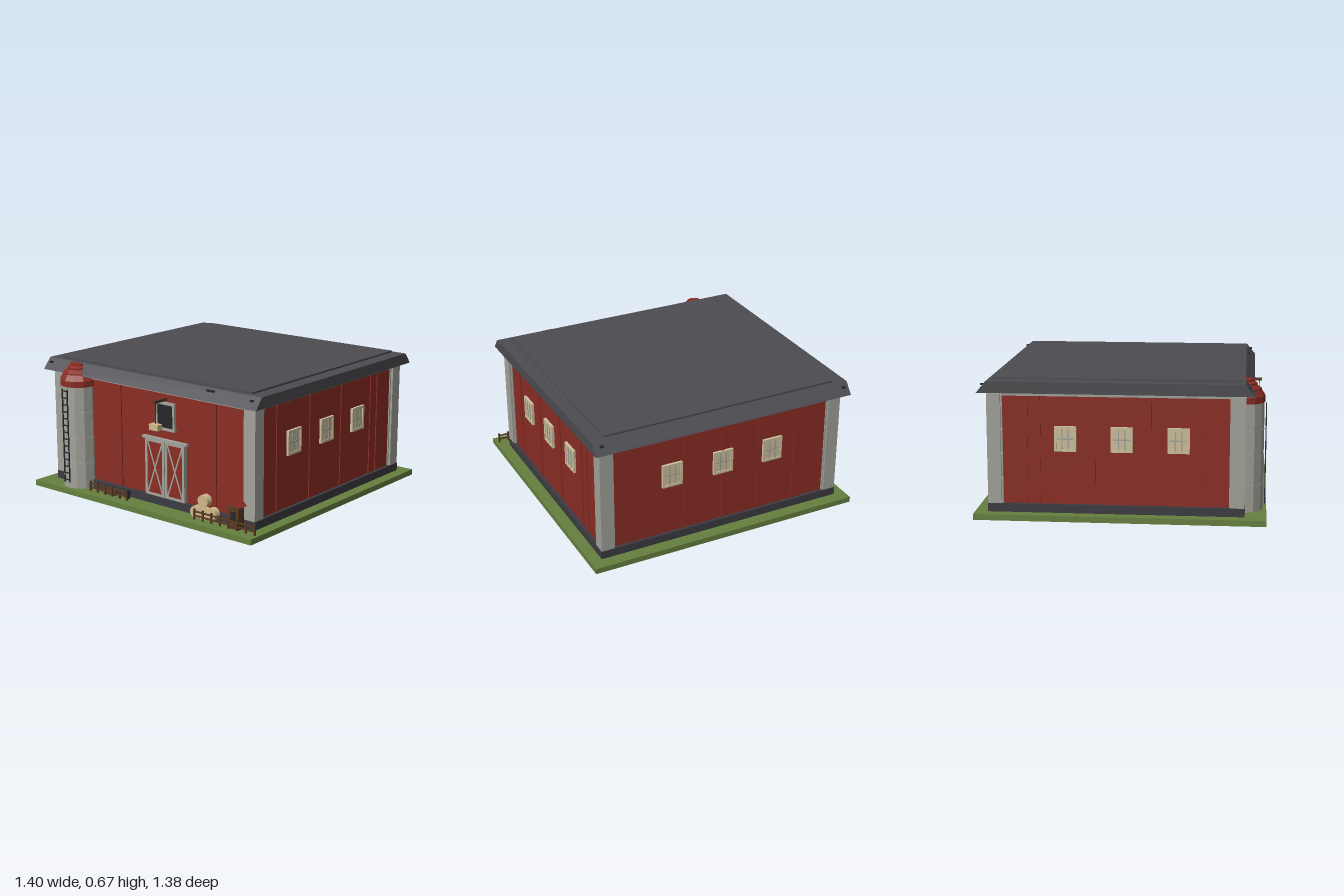
import * as THREE from 'three';

const mat = (name, color, side = THREE.FrontSide) => {
  const m = new THREE.MeshStandardMaterial({ color, side });
  m.name = name;
  return m;
};

export function createModel() {
  const grass = mat('grass green', 0x66803f), red = mat('barn red', 0x8b2d24);
  const slate = mat('roof slate', 0x4d4c51), trim = mat('trim grey', 0xa3a39b);
  const stone = mat('foundation grey', 0x3c3b42), pane = mat('window cream', 0xcdc09c);
  const wood = mat('fence brown', 0x5a3a22), black = mat('dark opening', 0x25272a);
  const straw = mat('straw', 0xd0b98a);
  const model = new THREE.Group();
  model.name = 'barn';

  const group = (name, parent = model) => {
    const g = new THREE.Group();
    g.name = name;
    parent.add(g);
    return g;
  };
  const add = (name, geo, m, x, y, z, parent = model) => {
    const mesh = new THREE.Mesh(geo, m);
    mesh.name = name;
    mesh.position.set(x, y, z);
    parent.add(mesh);
    return mesh;
  };
  const box = (name, m, w, h, d, x, y, z, parent) =>
    add(name, new THREE.BoxGeometry(w, h, d), m, x, y, z, parent);
  // Solid from an x-y outline, centred on z
  const prism = (name, m, pts, depth, x, y, z, parent) => {
    const shape = new THREE.Shape(pts.map(p => new THREE.Vector2(...p)));
    const geo = new THREE.ExtrudeGeometry(shape, { depth, bevelEnabled: false });
    return add(name, geo.translate(0, 0, -depth / 2), m, x, y, z, parent);
  };

  // Ground, with the barn floor showing underneath
  box('ground', grass, 1.4, 0.028, 1.375, 0, 0.016, 0.02);
  const floor = new THREE.Shape([[0.42, 0.61], [-0.63, 0.61], [-0.63, -0.57]].map(p => new THREE.Vector2(...p)));
  add('floorUnderside', new THREE.ShapeGeometry(floor).rotateX(Math.PI / 2), red, 0, 0.0005, 0);

  // Walls, foundation and trim under the eaves
  box('walls', red, 1.25, 0.57, 1.18, 0, 0.32, 0);
  box('foundation', stone, 1.286, 0.04, 1.212, 0, 0.05, 0);
  box('eavesTrim', trim, 1.27, 0.02, 1.2, 0, 0.597, 0);
  for (const sx of [-1, 1]) for (const sz of [-1, 1]) {
    const post = group('cornerPost');
    box('post', trim, 0.065, 0.525, 0.065, sx * 0.609, 0.333, sz * 0.572, post);
    box('frontStrip', trim, 0.018, 0.525, 0.014, sx * 0.578, 0.333, sz * 0.589, post);
    box('sideStrip', trim, 0.014, 0.525, 0.018, sx * 0.624, 0.333, sz * 0.541, post);
  }

  // Raised vertical boards
  for (const s of [-1, 1]) {
    for (const x of [-0.4, -0.2, 0, 0.2, 0.4]) {
      if (s > 0 && x >= 0 && x < 0.3) continue;
      box('batten', red, 0.014, 0.515, 0.006, x, 0.328, s * 0.592);
    }
    for (const z of [-0.42, -0.36, -0.1, 0.16, 0.42])
      box('batten', red, 0.006, 0.515, 0.014, s * 0.627, 0.328, z);
  }

  // Roof with sloped front and back edges, and a slim top sheet
  const slab = prism('roof', slate, [[-0.645, 0.605], [0.645, 0.605], [0.6, 0.66], [-0.6, 0.66]], 1.35, 0, 0, 0);
  slab.rotation.y = Math.PI / 2;
  box('roofTop', slate, 1.21, 0.01, 1.16, 0, 0.664, 0);
  for (const [x, z] of [[-0.645, -0.622], [0.635, -0.622], [-0.645, 0.622], [0.635, 0.622]])
    box('roofBolt', black, 0.016, 0.008, 0.012, x, 0.642, z);
  box('roofVent', black, 0.045, 0.008, 0.012, 0.39, 0.648, 0.612);

  // Cross-barred windows on three walls
  const windowAt = (x, z, turn) => {
    const w = group('window');
    w.position.set(x, 0.385, z);
    w.rotation.y = turn;
    box('pane', pane, 0.09, 0.11, 0.008, 0, 0, 0.001, w);
    for (const s of [-1, 1]) {
      box('frameSide', pane, 0.012, 0.12, 0.014, s * 0.046, 0, 0.003, w);
      box('frameRail', pane, 0.104, 0.012, 0.014, 0, s * 0.054, 0.003, w);
      box('mullion', trim, 0.006, 0.1, 0.01, s * 0.015, 0, 0.003, w);
    }
    box('crossbar', trim, 0.09, 0.006, 0.01, 0, 0, 0.003, w);
  };
  for (const z of [0.295, 0.03, -0.235]) {
    windowAt(0.628, z, Math.PI / 2);
    windowAt(-0.628, z, -Math.PI / 2);
  }
  for (const x of [-0.27, 0, 0.27]) windowAt(x, -0.593, Math.PI);

  // Double sliding door with X braces
  const door = group('slidingDoor');
  door.position.set(0.1, 0.22, 0.6);
  box('rail', trim, 0.28, 0.012, 0.02, 0, 0.14, 0.004, door);
  for (const s of [-1, 1]) {
    const leaf = group('doorLeaf', door);
    leaf.position.x = s * 0.063;
    box('panel', red, 0.12, 0.28, 0.014, 0, -0.006, 0, leaf);
    for (const t of [-1, 1]) {
      box('stile', trim, 0.014, 0.28, 0.022, t * 0.054, -0.006, 0, leaf);
      box('crossRail', trim, 0.12, 0.012, 0.022, 0, t * 0.134 - 0.006, 0, leaf);
      box('brace', trim, 0.008, 0.275, 0.018, 0, -0.006, 0, leaf).rotation.z = t * 0.35;
    }
  }

  // Hayloft opening with a hoisted bale
  const loft = group('hayloft');
  box('opening', black, 0.11, 0.125, 0.008, 0.098, 0.477, 0.593, loft);
  for (const s of [-1, 1]) {
    box('frameSide', trim, 0.012, 0.138, 0.016, 0.098 + s * 0.055, 0.477, 0.596, loft);
    box('frameRail', trim, 0.122, 0.012, 0.016, 0.098, 0.477 + s * 0.063, 0.596, loft);
  }
  box('hoistBeam', wood, 0.012, 0.014, 0.1, 0.098, 0.56, 0.63, loft);
  box('rope', wood, 0.004, 0.11, 0.004, 0.098, 0.502, 0.668, loft);
  box('hoistedBale', straw, 0.054, 0.028, 0.034, 0.098, 0.44, 0.668, loft);

  // Silo with a stepped cap and ladder
  const silo = group('silo');
  silo.position.set(-0.475, 0, 0.6);
  const flat = (name, geo, m, y) => {
    const g = geo.toNonIndexed();
    g.computeVertexNormals();
    add(name, g, m, 0, y, 0, silo);
  };
  flat('tower', new THREE.CylinderGeometry(0.09, 0.09, 0.53, 12), trim, 0.293);
  for (const y of [0.16, 0.29, 0.42])
    flat('hoop', new THREE.CylinderGeometry(0.092, 0.092, 0.006, 12), trim, y);
  const cap = [[0, 0.55], [0.094, 0.55], [0.094, 0.58], [0.076, 0.608], [0.076, 0.615], [0.055, 0.63],
    [0.055, 0.64], [0.04, 0.648], [0.04, 0.657], [0, 0.66]];
  flat('cap', new THREE.LatheGeometry(cap.map(p => new THREE.Vector2(...p)), 12), red, 0);
  for (const s of [-1, 1]) box('ladderRail', black, 0.005, 0.48, 0.005, s * 0.017, 0.3, 0.099, silo);
  for (let i = 0; i < 14; i++) box('rung', black, 0.036, 0.005, 0.005, 0, 0.075 + i * 0.035, 0.099, silo);

  // Two lengths of post-and-rail fence
  const fence = (x0, x1, n) => {
    const f = group('fence');
    for (const y of [0.048, 0.069]) box('rail', wood, x1 - x0, 0.007, 0.006, (x0 + x1) / 2, y, 0.655, f);
    for (let i = 0; i <= n; i++)
      box('post', wood, 0.008, 0.052, 0.009, x0 + 0.004 + (x1 - x0 - 0.008) * i / n, 0.055, 0.655, f);
  };
  fence(-0.36, -0.105, 5);
  fence(0.32, 0.685, 7);

  // Trough and bucket
  box('trough', wood, 0.075, 0.022, 0.03, -0.24, 0.041, 0.632);
  add('bucket', new THREE.CylinderGeometry(0.014, 0.011, 0.04, 10), black, -0.125, 0.05, 0.632);

  // Stacked round bales
  for (const [x, y] of [[0.318, 0.06], [0.413, 0.068], [0.365, 0.06], [0.365, 0.122]])
    add('roundBale', new THREE.CylinderGeometry(0.03, 0.03, 0.034, 14).rotateX(Math.PI / 2), straw, x, y, 0.628);

  // Small shed with a gabled roof
  const shed = group('shed');
  box('shedWalls', wood, 0.062, 0.11, 0.04, 0.553, 0.085, 0.63, shed);
  prism('shedRoof', red, [[-0.045, 0], [0.045, 0], [0, 0.038]], 0.05, 0.553, 0.14, 0.63, shed);
  box('shedDoor', black, 0.026, 0.045, 0.004, 0.553, 0.09, 0.651, shed);

  return model;
}
